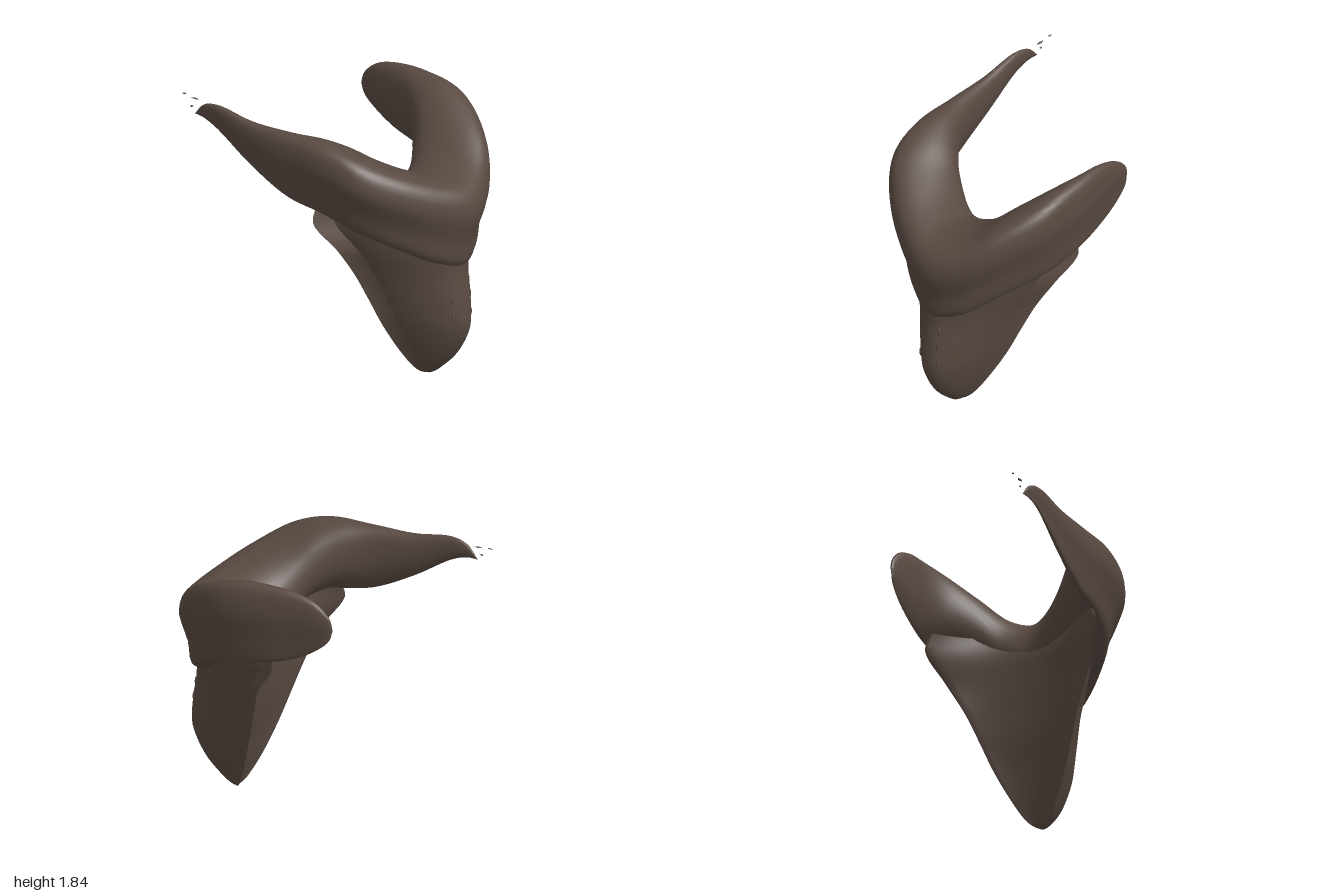
import * as THREE from 'three';
import { toCreasedNormals } from 'three/addons/utils/BufferGeometryUtils.js';

// Closed skin over a row of equal-length rings, smoothed along the row
function loft(rings, steps, crease) {
  const n = rings[0].length;
  const columns = rings[0].map((_, j) => new THREE.CatmullRomCurve3(rings.map((r) => r[j])));
  const pos = [], idx = [];
  for (let i = 0; i <= steps; i++) {
    for (const c of columns) pos.push(...c.getPoint(i / steps).toArray());
  }
  for (let i = 0; i < steps; i++) {
    for (let j = 0; j < n; j++) {
      const k = (j + 1) % n;
      const a = i * n + j, b = i * n + k, c = a + n, d = b + n;
      idx.push(a, c, b, b, c, d);
    }
  }
  const geo = new THREE.BufferGeometry();
  geo.setAttribute('position', new THREE.Float32BufferAttribute(pos, 3));
  geo.setIndex(idx);
  geo.computeVertexNormals();
  return toCreasedNormals(geo, crease);
}

// Horseshoe root: stations of [outer x, outer z, inner x, inner z, top y, bottom y]
function rootGeometry() {
  const stations = [
    [-0.88, 0.525, -0.88, 0.525, 1.71, 1.71],
    [-0.8, 0.55, -0.8, 0.522, 1.8, 1.705],
    [-0.68, 0.575, -0.68, 0.525, 1.83, 1.66],
    [-0.4, 0.615, -0.4, 0.52, 1.79, 1.48],
    [-0.1, 0.655, -0.1, 0.49, 1.79, 1.33],
    [0.25, 0.69, 0.08, 0.42, 1.79, 1.27],
    [0.5, 0.66, 0.2, 0.33, 1.74, 1.18],
    [0.74, 0.47, 0.28, 0.23, 1.63, 1.06],
    [0.93, 0.2, 0.35, 0.1, 1.52, 0.91],
    [1.0, 0, 0.37, 0, 1.48, 0.85],
    [0.95, -0.22, 0.35, -0.17, 1.53, 0.92],
    [0.8, -0.45, 0.28, -0.33, 1.68, 1.08],
    [0.52, -0.65, 0.16, -0.48, 1.81, 1.2],
    [0.2, -0.7, 0.03, -0.555, 1.84, 1.28],
    [-0.05, -0.695, -0.1, -0.59, 1.83, 1.35],
    [-0.22, -0.69, -0.23, -0.62, 1.78, 1.44],
    [-0.32, -0.675, -0.32, -0.645, 1.69, 1.53],
    [-0.345, -0.66, -0.345, -0.66, 1.61, 1.61],
  ];
  // cross-section: across from inner to outer, and up from bottom to top
  const profile = new THREE.CatmullRomCurve3([
    [1, 0.6], [0.97, 0.82], [0.86, 0.94], [0.6, 1], [0.3, 0.97], [0.08, 0.85], [0, 0.6],
    [0.06, 0.38], [0.22, 0.22], [0.45, 0.1], [0.76, 0], [0.87, 0.04], [0.91, 0.3],
  ].map(([u, v]) => new THREE.Vector3(u, v, 0)), true).getPoints(39).slice(0, -1);
  const rings = stations.map(([ox, oz, ix, iz, top, bottom]) => profile.map((p) => {
    // the outer wall leans in below its bulge, most at the sides
    const u = p.x - p.x * 0.45 * oz * oz * Math.max(0, 1 - p.y / 0.6);
    return new THREE.Vector3(
      THREE.MathUtils.lerp(ix, ox, u),
      THREE.MathUtils.lerp(bottom, top, p.y),
      THREE.MathUtils.lerp(iz, oz, u));
  }));
  return loft(rings, 102, 0.9);
}

// Blade: levels of [y, edge x, half width, outer centre x, inner centre x, flange depth]
function bladeGeometry() {
  const levels = [
    [1.32, 0.12, 0.58, 0.85, 0.42, 0.09],
    [1.2, 0.12, 0.62, 0.88, 0.375, 0.09],
    [1.0, 0.25, 0.53, 0.9, 0.385, 0.09],
    [0.8, 0.32, 0.425, 0.905, 0.41, 0.09],
    [0.6, 0.38, 0.345, 0.935, 0.44, 0.09],
    [0.4, 0.44, 0.27, 0.94, 0.49, 0.09],
    [0.2, 0.51, 0.175, 0.85, 0.54, 0.07],
    [0.07, 0.57, 0.1, 0.73, 0.585, 0.04],
    [0.02, 0.6, 0.05, 0.67, 0.605, 0.01],
    [0, 0.63, 0, 0.63, 0.63, 0],
  ];
  const m = 20, body = 0.82;
  const rings = levels.map(([y, xe, w, xo, xi, t]) => {
    const ring = [new THREE.Vector3(xe, y, w)];
    // thick outer body between two thin cutting flanges
    for (let j = 0; j <= m; j++) {
      const s = Math.sin(Math.PI * (j / m - 0.5));
      ring.push(new THREE.Vector3(xe + t + (xo - xe - t) * Math.max(0, 1 - s * s) ** 0.75, y, -w * body * s));
    }
    ring.push(new THREE.Vector3(xe, y, -w));
    // gently hollow inner face
    for (let j = 0; j <= m; j++) {
      const s = 2 * j / m - 1;
      ring.push(new THREE.Vector3(xi + (xe - xi) * s * s, y, w * 0.97 * s));
    }
    return ring;
  });
  return loft(rings, 54, 0.7);
}

export function createModel() {
  const model = new THREE.Group();
  const brown = new THREE.MeshStandardMaterial({ color: 0x594a42 });
  brown.name = 'dark brown';
  const add = (name, geo, position = [0, 0, 0], scale = [1, 1, 1], tilt = 0) => {
    const mesh = new THREE.Mesh(geo, brown);
    mesh.name = name;
    mesh.position.set(...position);
    mesh.scale.set(...scale);
    mesh.rotation.z = tilt;
    model.add(mesh);
  };

  add('root', rootGeometry());
  add('blade', bladeGeometry());

  // small pits down the outer face
  const pit = new THREE.SphereGeometry(1, 10, 8);
  for (const [y, x] of [[0.74, 0.87], [0.63, 0.885], [0.5, 0.89]]) {
    add('pit', pit, [x, y, 0.1], [0.008, 0.035, 0.012]);
    add('pit', pit, [x + 0.028, y, -0.06], [0.008, 0.035, 0.012]);
  }

  // loose crumbs around the long tip
  const crumb = new THREE.OctahedronGeometry(1);
  add('crumb', crumb, [-0.98, 1.82, 0.5], [0.02, 0.007, 0.008], 0.2);
  add('crumb', crumb, [-0.89, 1.81, 0.51], [0.035, 0.006, 0.012]);
  add('crumb', crumb, [-0.91, 1.753, 0.52], [0.015, 0.008, 0.008], 0.4);
  add('crumb', crumb, [-0.63, 1.8, 0.575], [0.035, 0.02, 0.01]);
  add('crumb', crumb, [-0.48, 1.795, 0.57], [0.03, 0.01, 0.012]);
  return model;
}
